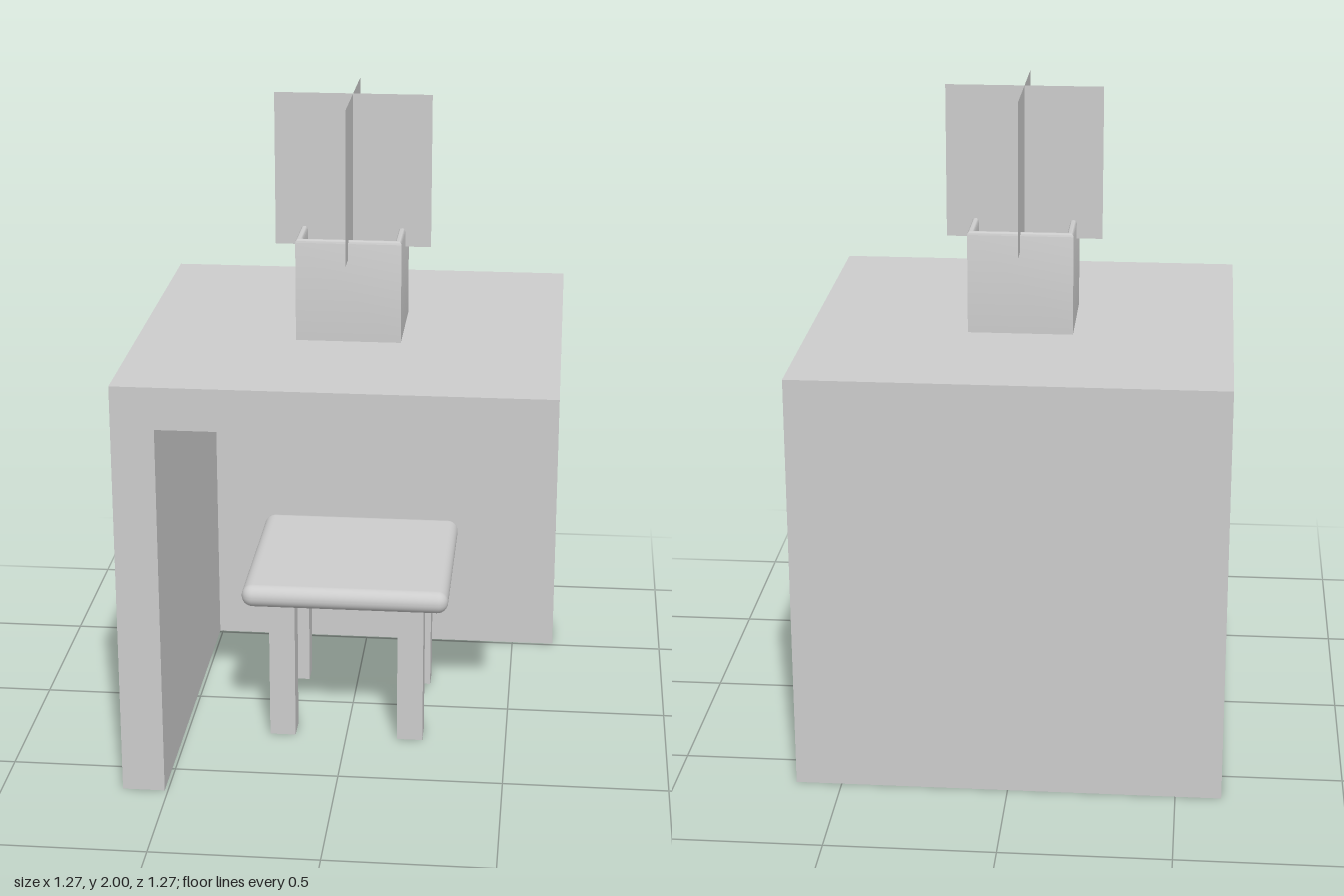
import * as THREE from 'three';
import { toCreasedNormals } from 'three/addons/utils/BufferGeometryUtils.js';
import { RoundedBoxGeometry } from 'three/addons/geometries/RoundedBoxGeometry.js';

export function createModel() {
  const model = new THREE.Group();
  const grey = new THREE.MeshStandardMaterial({ color: 0xcccccc, side: THREE.DoubleSide });
  grey.name = 'plain grey';

  const add = (parent, name, geometry, x = 0, y = 0, z = 0) => {
    const mesh = new THREE.Mesh(geometry, grey);
    mesh.name = name;
    mesh.position.set(x, y, z);
    parent.add(mesh);
    return mesh;
  };
  const group = (name) => {
    const g = new THREE.Group();
    g.name = name;
    model.add(g);
    return g;
  };

  // Table: a slab carried by two walls that meet in the back corner
  const H = 0.637, T = 0.127, TOP = 1.28;
  const wallHeight = TOP - T;
  const table = group('table');
  add(table, 'tableTop', new THREE.BoxGeometry(2 * H, T, 2 * H), 0, TOP - T / 2, 0);
  add(table, 'backWall', new THREE.BoxGeometry(2 * H, wallHeight, T), 0, wallHeight / 2, -H + T / 2);
  add(table, 'sideWall', new THREE.BoxGeometry(T, wallHeight, 2 * H - T), -H + T / 2, wallHeight / 2, T / 2);

  // Stool: padded seat on four square legs
  const stool = group('stool');
  add(stool, 'seat', new RoundedBoxGeometry(0.635, 0.07, 0.635, 5, 0.034), 0, 0.495, 0);
  for (const x of [-0.2, 0.2]) {
    for (const z of [-0.2, 0.2]) {
      add(stool, 'stoolLeg', new THREE.BoxGeometry(0.08, 0.465, 0.08), x, 0.2325, z);
    }
  }

  // Square pot: four-sided lathe with a rounded rim and a filling inside
  const plant = group('pottedPlant');
  const rimTop = 1.592, soil = 1.535, outer = 0.158, r = 0.01;
  const profile = [[outer, TOP]];
  for (let i = 0; i <= 6; i++) {
    const a = (i / 6) * Math.PI;
    profile.push([outer - r + r * Math.cos(a), rimTop - r + r * Math.sin(a)]);
  }
  profile.push([outer - 2 * r, soil], [0, soil]);
  const potGeometry = new THREE.LatheGeometry(
    profile.map(([x, y]) => new THREE.Vector2(x * Math.SQRT2, y)), 4, Math.PI / 4);
  add(plant, 'pot', toCreasedNormals(potGeometry, 0.7));

  // Foliage: two crossed upright sheets
  for (const turn of [0, Math.PI / 2]) {
    const sheet = add(plant, 'leafSheet', new THREE.PlaneGeometry(0.472, 2 - soil), 0, (2 + soil) / 2, 0);
    sheet.rotation.y = turn;
  }
  return model;
}
